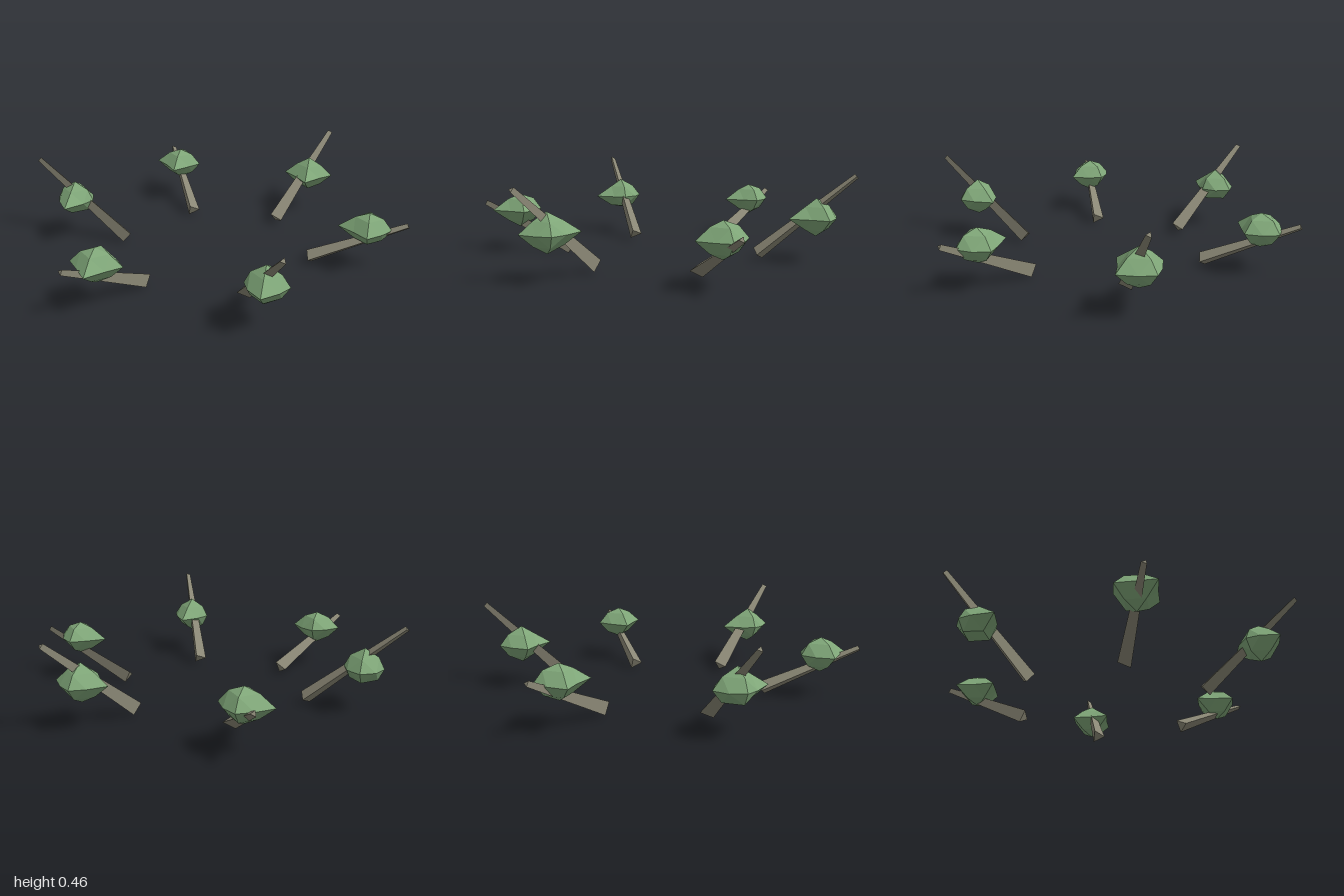
import * as THREE from 'three';

const barkMat = new THREE.MeshStandardMaterial({ color: 0x8a8775, flatShading: true });
const leafMat = new THREE.MeshStandardMaterial({ color: 0x7fa678, flatShading: true });

// Spiky clump: an octahedron split once; six tips of given lengths, rounder body between them
function clumpGeometry([xn, xp, yn, yp, zn, zp]) {
  const geo = new THREE.OctahedronGeometry(1, 1);
  const pos = geo.attributes.position;
  const v = new THREE.Vector3();
  for (let i = 0; i < pos.count; i++) {
    v.fromBufferAttribute(pos, i);
    const isTip = Math.max(Math.abs(v.x), Math.abs(v.y), Math.abs(v.z)) > 0.9;
    if (isTip) {
      v.set(v.x * (v.x < 0 ? xn : xp), v.y * (v.y < 0 ? yn : yp), v.z * (v.z < 0 ? zn : zp));
    } else {
      v.multiply(new THREE.Vector3(0.1, 0.083, v.z < 0 ? 0.105 : 0.09));
    }
    pos.setXYZ(i, v.x, v.y, v.z);
  }
  geo.computeVertexNormals();
  return geo;
}

// Three-sided tapered stem leaning outward along local +x
function makeStem(tipHeight, baseHeight) {
  const base = new THREE.Vector3(0.5, baseHeight, 0);
  const tip = new THREE.Vector3(0.986, tipHeight, 0);
  const dir = tip.clone().sub(base);
  const stem = new THREE.Mesh(new THREE.CylinderGeometry(0.016, 0.04, dir.length(), 3), barkMat);
  stem.position.copy(base).add(tip).multiplyScalar(0.5);
  stem.rotation.z = Math.atan2(dir.y, dir.x) - Math.PI / 2;
  stem.name = 'stem';
  return stem;
}

// Tip lengths per clump: -x, +x, -y, +y, -z, +z
const CLUMPS = [
  [0.155, 0.115, 0.09, 0.085, 0.125, 0.13],
  [0.1, 0.11, 0.095, 0.1, 0.16, 0.13],
  [0.13, 0.135, 0.095, 0.085, 0.115, 0.145],
  [0.1, 0.1, 0.07, 0.1, 0.12, 0.155],
  [0.145, 0.12, 0.09, 0.085, 0.12, 0.15],
  [0.14, 0.135, 0.095, 0.1, 0.12, 0.155],
];

export function createModel() {
  const model = new THREE.Group();
  model.name = 'plantRing';

  // Six plants in a ring, shallow and steep stems alternating
  CLUMPS.forEach((tips, i) => {
    const angle = (i * Math.PI) / 3;
    const plant = new THREE.Group();
    plant.name = 'plant' + (i + 1);

    const lean = new THREE.Group();
    lean.name = 'stemGroup';
    lean.rotation.y = -angle;
    lean.add(i % 2 ? makeStem(0.45, 0.038) : makeStem(0.268, 0.036));

    const clump = new THREE.Mesh(clumpGeometry(tips), leafMat);
    clump.name = 'foliage';
    clump.position.set(Math.cos(angle) * 0.793, 0.235, Math.sin(angle) * 0.793);

    plant.add(lean, clump);
    model.add(plant);
  });
  return model;
}
